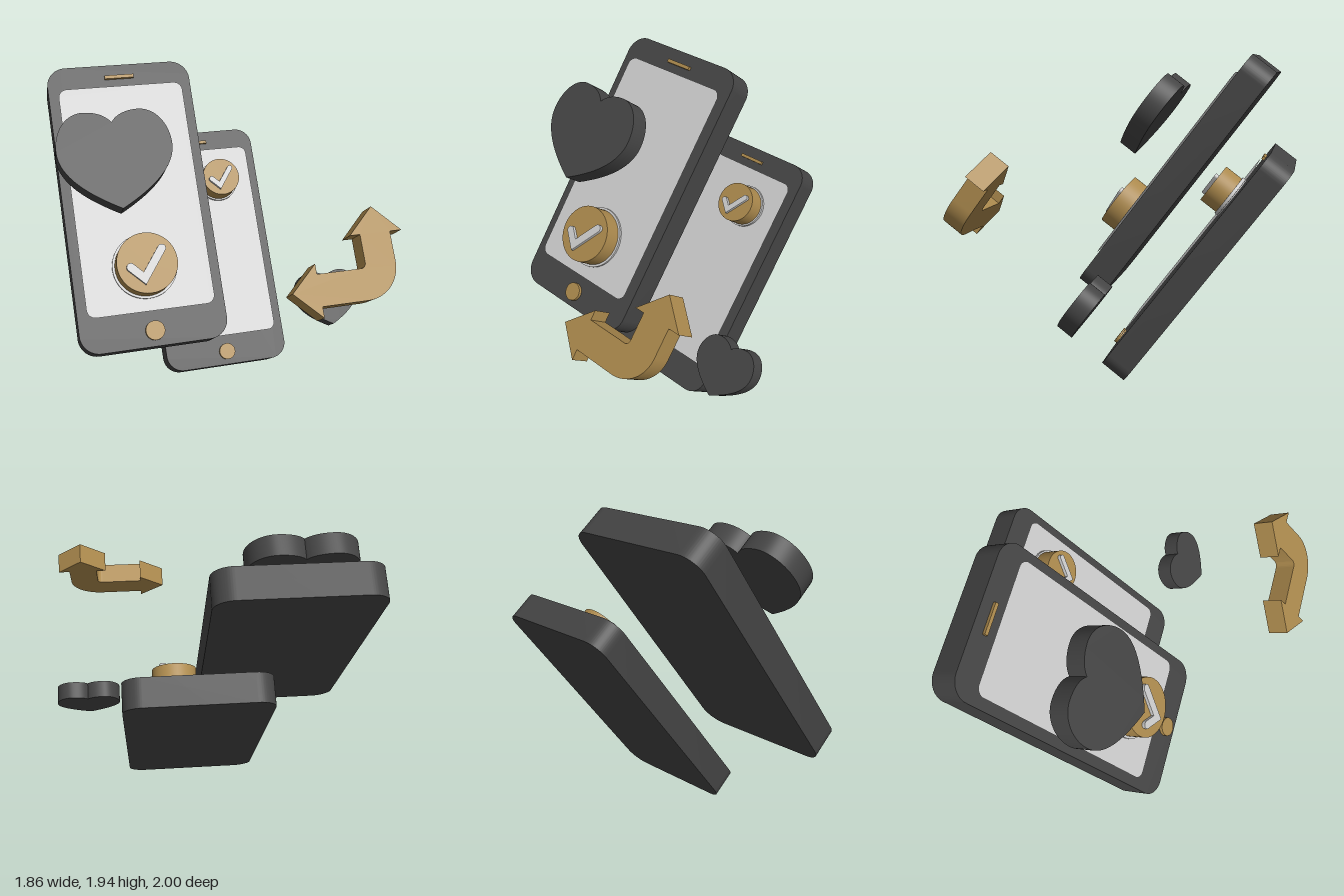
import * as THREE from 'three';
import { toCreasedNormals } from 'three/addons/utils/BufferGeometryUtils.js';

const dark = new THREE.MeshStandardMaterial({ color: 0x444444 });
const gold = new THREE.MeshStandardMaterial({ color: 0xab894d });
const grey = new THREE.MeshStandardMaterial({ color: 0xcccccc });
const greySheet = new THREE.MeshStandardMaterial({ color: 0xcccccc, side: THREE.DoubleSide });

function add(parent, name, geometry, material, x = 0, y = 0, z = 0) {
  const mesh = new THREE.Mesh(geometry, material);
  mesh.name = name;
  mesh.position.set(x, y, z);
  parent.add(mesh);
  return mesh;
}

// Flat slab with sharp rims and smooth sides, from z = 0 to z = depth
function slab(shape, depth, curveSegments = 16) {
  const g = new THREE.ExtrudeGeometry(shape, { depth, bevelEnabled: false, curveSegments });
  return toCreasedNormals(g, 0.6);
}

// Disc facing +z, standing on z = 0
function disc(radius, height) {
  return new THREE.CylinderGeometry(radius, radius, height, 48).rotateX(Math.PI / 2).translate(0, 0, height / 2);
}

// Rounded rectangle centred on x, from y0 to y1
function roundedRect(width, y0, y1, r) {
  const a = width / 2, s = new THREE.Shape();
  s.absarc(a - r, y0 + r, r, -Math.PI / 2, 0);
  s.absarc(a - r, y1 - r, r, 0, Math.PI / 2);
  s.absarc(r - a, y1 - r, r, Math.PI / 2, Math.PI);
  s.absarc(r - a, y0 + r, r, Math.PI, Math.PI * 1.5);
  s.closePath();
  return s;
}

// Phone with its bottom edge at y = 0 and its face at z = 0
function phone(name) {
  const g = new THREE.Group();
  g.name = name;
  add(g, 'phoneBody', slab(roundedRect(0.91, 0, 1.813, 0.12), 0.185), dark, 0, 0, -0.185);
  add(g, 'screen', new THREE.ShapeGeometry(roundedRect(0.79, 0.215, 1.665, 0.055)), greySheet, 0, 0, 0.016);
  add(g, 'homeButton', disc(0.059, 0.022), gold, 0, 0.096, 0);
  add(g, 'speaker', new THREE.BoxGeometry(0.185, 0.022, 0.04), gold, 0, 1.728, 0);
  return g;
}

// Outline of a stroke with round ends and a mitred corner
function tickShape(a, b, c, r) {
  const s = new THREE.Shape();
  const u = b.clone().sub(a).normalize(), v = c.clone().sub(b).normalize();
  const nu = new THREE.Vector2(-u.y, u.x), nv = new THREE.Vector2(-v.y, v.x);
  const mitre = nu.clone().add(nv).multiplyScalar(r / (1 + nu.dot(nv)));
  const au = Math.atan2(nu.y, nu.x), av = Math.atan2(nv.y, nv.x);
  s.absarc(a.x, a.y, r, au, au + Math.PI, false);
  s.lineTo(b.x - mitre.x, b.y - mitre.y);
  s.absarc(c.x, c.y, r, av + Math.PI, av + Math.PI * 2, false);
  s.lineTo(b.x + mitre.x, b.y + mitre.y);
  s.closePath();
  return s;
}

// Coin badge with a base plate and a raised tick
function badge(name) {
  const g = new THREE.Group();
  g.name = name;
  add(g, 'badgeBase', disc(0.2, 0.028), grey);
  add(g, 'badgeCoin', disc(0.185, 0.143), gold);
  const tick = tickShape(new THREE.Vector2(-0.105, -0.02), new THREE.Vector2(-0.03, -0.095),
    new THREE.Vector2(0.095, 0.075), 0.025);
  add(g, 'tick', slab(tick, 0.03, 8), grey, 0, 0, 0.135);
  return g;
}

// Heart outline, 0.68 wide
function heartShape() {
  const s = new THREE.Shape();
  s.moveTo(0, -0.296);
  s.bezierCurveTo(0.18, -0.2, 0.34, -0.08, 0.34, 0.07);
  s.bezierCurveTo(0.34, 0.2, 0.26, 0.296, 0.165, 0.296);
  s.bezierCurveTo(0.09, 0.296, 0.03, 0.27, 0, 0.225);
  s.bezierCurveTo(-0.03, 0.27, -0.09, 0.296, -0.165, 0.296);
  s.bezierCurveTo(-0.26, 0.296, -0.34, 0.2, -0.34, 0.07);
  s.bezierCurveTo(-0.34, -0.08, -0.18, -0.2, 0, -0.296);
  return s;
}

// Bent arrow with a head at each end
function arrowShape() {
  const s = new THREE.Shape();
  s.moveTo(0.195, 0.289);
  s.lineTo(0.35, 0.137);
  s.lineTo(0.35, 0.2);
  s.lineTo(0.62, 0.2);
  s.absarc(0.62, 0.4, 0.2, -Math.PI / 2, 0, false);
  s.lineTo(0.82, 0.57);
  s.lineTo(0.89, 0.57);
  s.lineTo(0.735, 0.722);
  s.lineTo(0.58, 0.57);
  s.lineTo(0.64, 0.57);
  s.lineTo(0.64, 0.41);
  s.absarc(0.61, 0.41, 0.03, 0, -Math.PI / 2, true);
  s.lineTo(0.35, 0.38);
  s.lineTo(0.35, 0.438);
  s.closePath();
  return s;
}

export function createModel() {
  const model = new THREE.Group();
  model.name = 'phonesSharing';

  // Everything leans back by the same angle
  const tilted = new THREE.Group();
  tilted.name = 'tiltedParts';
  tilted.rotation.x = -0.648;
  model.add(tilted);

  // Phones
  const large = phone('largePhone');
  large.position.set(-0.455, 0.168, 0.591);
  const small = phone('smallPhone');
  small.position.set(0.071, 0.016, 0.144);
  small.scale.setScalar(0.89);

  // Badges
  const largeBadge = badge('largeBadge');
  largeBadge.position.set(-0.465, 0.659, 0.593);
  const smallBadge = badge('smallBadge');
  smallBadge.position.set(0.185, 1.26, 0.149);
  smallBadge.scale.set(0.67, 0.67, 1);
  tilted.add(large, small, largeBadge, smallBadge);

  // Hearts
  add(tilted, 'largeHeart', slab(heartShape(), 0.13), dark, -0.595, 1.244, 0.845);
  add(tilted, 'smallHeart', slab(heartShape(), 0.105), dark, 0.722, 0.336, 0.373).scale.set(0.595, 0.59, 1);

  // Two-way arrow
  add(tilted, 'bentArrow', slab(arrowShape(), 0.128), gold, 0, 0, 1.23);
  return model;
}
